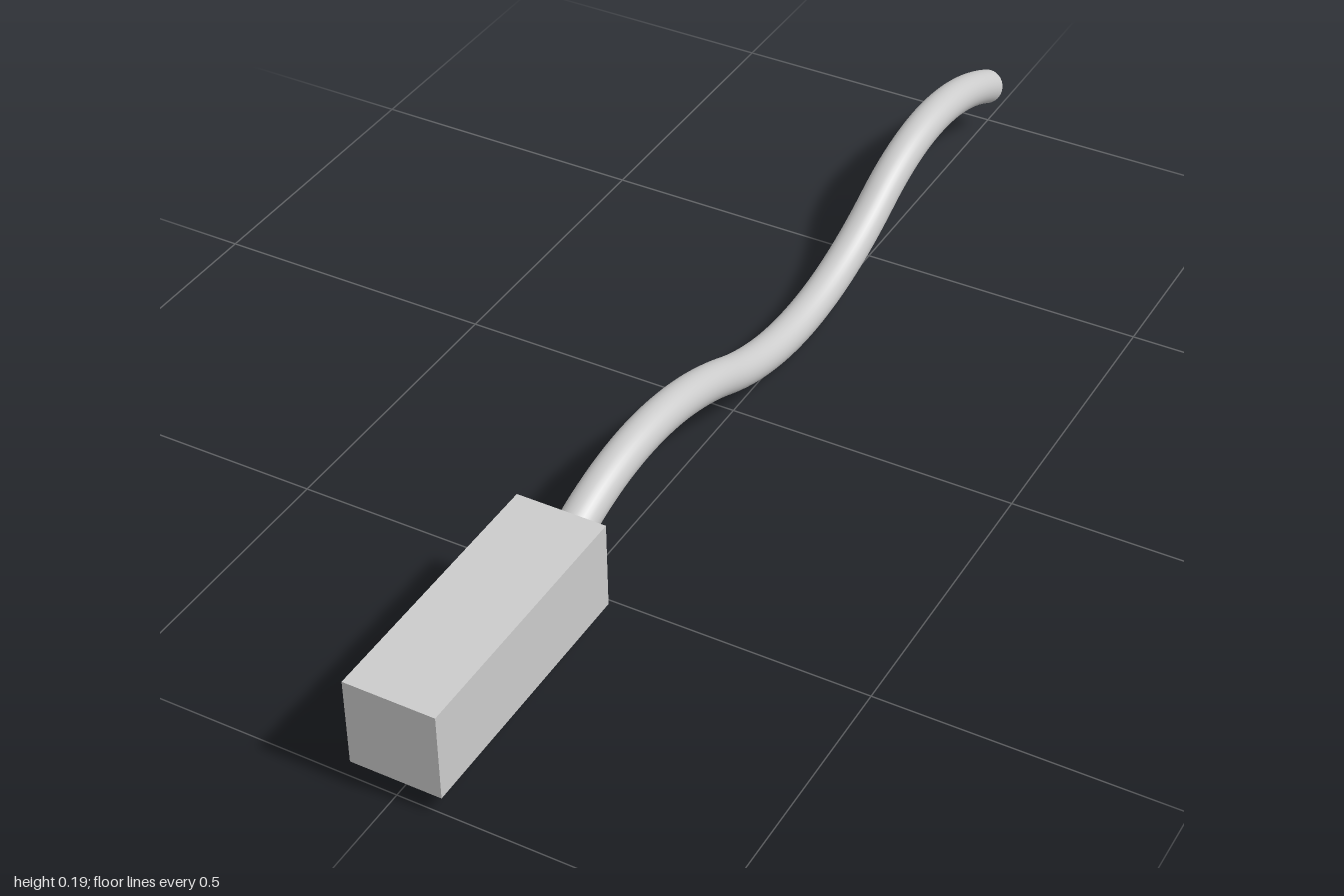
import * as THREE from 'three';

const point = (z, y) => new THREE.Vector3(0, y, z);

export function createModel() {
  const group = new THREE.Group();
  const material = new THREE.MeshStandardMaterial({ color: 0xcccccc });
  const radius = 0.031;

  // Square block at the front
  const block = new THREE.Mesh(new THREE.BoxGeometry(0.154, 0.154, 0.463), material);
  block.name = 'block';
  block.position.set(0, 0.108, 0.7685);
  group.add(block);

  // Wavy rod: a short root inside the block, then crest, trough, crest
  const path = new THREE.CurvePath();
  path.add(new THREE.LineCurve3(point(0.58, 0.088), point(0.54, 0.107)));
  const bends = [
    [point(0.54, 0.107), point(0.31, 0.217), point(0.04, 0.097)],
    [point(0.04, 0.097), point(-0.24, -0.037), point(-0.53, 0.105)],
    [point(-0.53, 0.105), point(-0.745, 0.208), point(-0.985, 0.083)],
  ];
  for (const bend of bends) path.add(new THREE.QuadraticBezierCurve3(...bend));

  const rod = new THREE.Mesh(new THREE.TubeGeometry(path, 120, radius, 32, false), material);
  rod.name = 'wavyRod';
  group.add(rod);

  // Flat cap closing the free end of the rod
  const cap = new THREE.Mesh(new THREE.CircleGeometry(radius, 32), material);
  cap.name = 'rodEndCap';
  cap.position.copy(path.getPointAt(1));
  cap.quaternion.setFromUnitVectors(new THREE.Vector3(0, 0, 1), path.getTangentAt(1));
  group.add(cap);

  return group;
}
